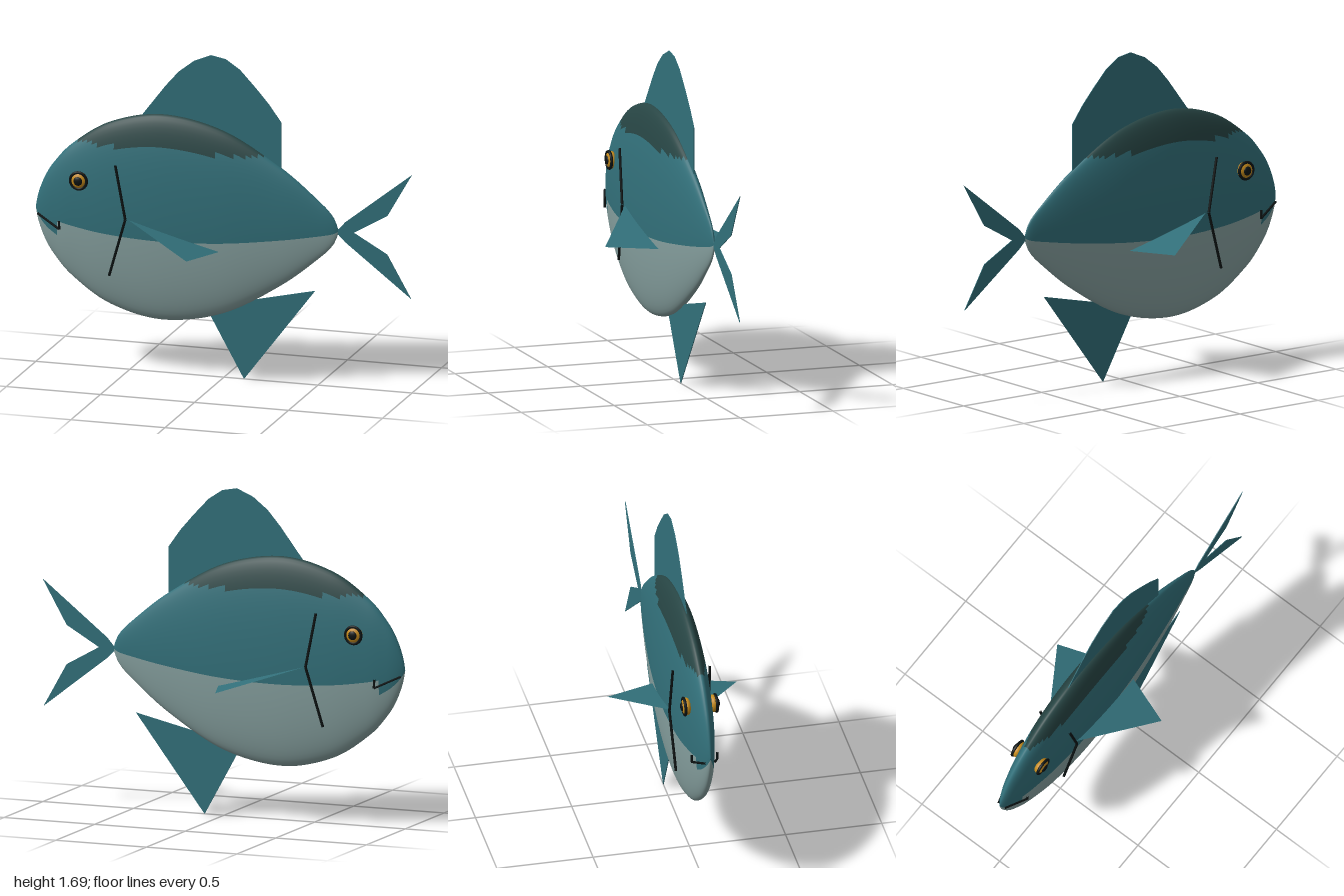
import * as THREE from 'three';

const mat = (name, color, side = THREE.FrontSide) => {
  const m = new THREE.MeshStandardMaterial({ color, side });
  m.name = name;
  return m;
};
const v2 = (pts) => pts.map(([x, y]) => new THREE.Vector2(x, y));

export function createModel() {
  const group = new THREE.Group();
  const teal = mat('teal', 0x32707a, THREE.DoubleSide);
  const back = mat('dark back', 0x274544);
  const belly = mat('pale belly', 0x86a09f);
  const amber = mat('amber', 0xc48a1c);
  const black = mat('black', 0x0b1212);

  const add = (name, geo, material, parent = group) => {
    const m = new THREE.Mesh(geo, material);
    m.name = name;
    parent.add(m);
    return m;
  };

  // Body: elliptical rings along x, coloured in three zones by face
  const CY = 0.818, FLAT = 0.095 / 0.54, RINGS = 60, SEG = 64;
  const profile = new THREE.SplineCurve(v2([
    [-1, 0.002], [-0.985, 0.075], [-0.95, 0.165], [-0.9, 0.245], [-0.8, 0.352], [-0.6, 0.48],
    [-0.32, 0.541], [0, 0.48], [0.3, 0.312], [0.5, 0.155], [0.58, 0.075], [0.61, 0.002],
  ])).getSpacedPoints(RINGS);
  const pos = [], zones = [[], [], []];
  for (const p of profile) {
    for (let j = 0; j < SEG; j++) {
      const a = (j / SEG) * Math.PI * 2;
      pos.push(p.x, CY + p.y * Math.sin(a), p.y * FLAT * Math.cos(a));
    }
  }
  for (let i = 0; i < RINGS; i++) {
    for (let j = 0; j < SEG; j++) {
      const k = (j + 1) % SEG;
      const a = i * SEG + j, b = a + SEG, c = (i + 1) * SEG + k, d = i * SEG + k;
      const s = Math.sin(((j + 0.5) / SEG) * Math.PI * 2);
      const x = (profile[i].x + profile[i + 1].x) / 2;
      const h = (profile[i].y + profile[i + 1].y) / 2;
      const chin = x < -0.87 ? -0.45 : -0.2;
      const zone = CY + h * s > 1.185 ? 1 : s < chin ? 2 : 0;
      zones[zone].push(a, b, c, a, c, d);
    }
  }
  const bodyGeo = new THREE.BufferGeometry();
  bodyGeo.setAttribute('position', new THREE.Float32BufferAttribute(pos, 3));
  bodyGeo.setIndex(zones.flat());
  let start = 0;
  zones.forEach((z, n) => {
    bodyGeo.addGroup(start, z.length, n);
    start += z.length;
  });
  bodyGeo.computeVertexNormals();
  add('body', bodyGeo, [teal, back, belly]);

  // Thin upright fins on the centre line
  const fin = (name, pts) => {
    const geo = new THREE.ExtrudeGeometry(new THREE.Shape(v2(pts)), { depth: 0.004, bevelEnabled: false });
    geo.translate(0, 0, -0.002);
    add(name, geo, teal);
  };
  fin('dorsalFin', [
    [-0.44, 1.34], [-0.31, 1.51], [-0.24, 1.59], [-0.16, 1.652], [-0.07, 1.69], [0.01, 1.675],
    [0.085, 1.625], [0.17, 1.535], [0.24, 1.455], [0.305, 1.365], [0.305, 1.08], [-0.1, 1.2],
  ]);
  fin('tailFin', [
    [0.57, 0.82], [0.61, 0.83], [0.645, 0.87], [1, 1.148], [0.868, 0.92], [0.69, 0.818],
    [0.868, 0.718], [0.995, 0.495], [0.645, 0.765], [0.61, 0.8],
  ]);
  fin('analFin', [[-0.08, 0.335], [0.107, 0], [0.485, 0.495], [0.15, 0.42], [0, 0.45]]);

  // Thin line made of straight round segments
  const line = (name, pts, r, parent) => {
    const path = new THREE.CurvePath();
    const v = pts.map((p) => new THREE.Vector3(...p));
    for (let i = 1; i < v.length; i++) path.add(new THREE.LineCurve3(v[i - 1], v[i]));
    path.curves.forEach((c) => add(name, new THREE.TubeGeometry(c, 1, r, 6), black, parent));
  };

  // Paired parts on both flanks
  for (const s of [1, -1]) {
    const side = new THREE.Group();
    side.name = s > 0 ? 'frontFlank' : 'rearFlank';
    group.add(side);

    const pec = new THREE.BufferGeometry();
    pec.setAttribute('position', new THREE.Float32BufferAttribute([
      -0.49, 0.815, 0.085 * s, -0.095, 0.69, 0.336 * s, 0, 0.68, 0.075 * s,
    ], 3));
    pec.setIndex(s > 0 ? [0, 1, 2] : [0, 2, 1]);
    pec.computeVertexNormals();
    add('pectoralFin', pec, teal, side);

    line('gillLine', [[-0.548, 1.095, 0.096 * s], [-0.493, 0.815, 0.102 * s], [-0.583, 0.51, 0.088 * s]], 0.007, side);
    line('mouth', [[-0.985, 0.787, 0.02 * s], [-0.855, 0.725, 0.066 * s], [-0.857, 0.77, 0.066 * s]], 0.006, side);

    const eye = new THREE.Group();
    eye.name = 'eye';
    eye.position.set(-0.748, 0.993, 0.07 * s);
    side.add(eye);
    add('iris', new THREE.SphereGeometry(0.045, 24, 16), amber, eye).scale.z = 0.6;
    add('eyeRim', new THREE.TorusGeometry(0.043, 0.008, 8, 32), black, eye).position.z = 0.012 * s;
    const pupil = add('pupil', new THREE.SphereGeometry(0.023, 20, 12), black, eye);
    pupil.scale.z = 0.4;
    pupil.position.z = 0.023 * s;
  }
  return group;
}
